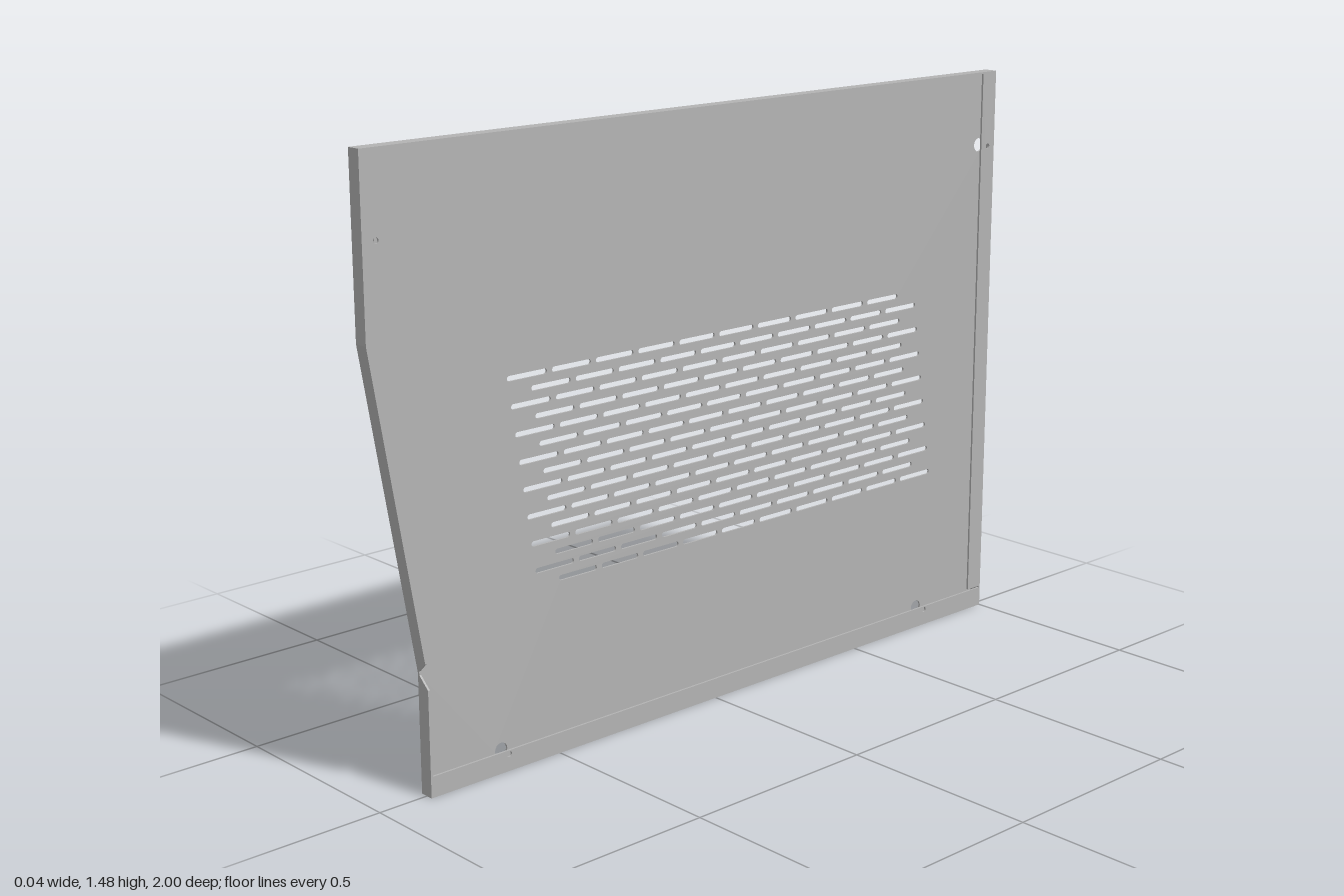
import * as THREE from 'three';

const T = 0.005;          // sheet thickness
const X0 = -0.018, X1 = 0.018;
const H = 1.475;

// Outline as [z, y], running up the back, over the top and down the front
const outline = [[-1, 0], [-1, H], [1, H], [1, 1.06], [0.872, 0.29], [0.872, 0]];
const screws = { back: [-0.975, 1.28], front: [0.965, 1.28], lowFront: [0.65, 0.042], lowBack: [-0.77, 0.042] };

export function createModel() {
  const group = new THREE.Group();
  const steel = new THREE.MeshStandardMaterial({ color: 0xb4b4b4 });
  steel.name = 'grey steel';

  function add(name, geometry) {
    const mesh = new THREE.Mesh(geometry, steel);
    mesh.name = name;
    group.add(mesh);
  }

  // Shapes in the plane of the panel: horizontal = -z, vertical = y
  const polygon = (pts) => new THREE.Shape(pts.map(([z, y]) => new THREE.Vector2(-z, y)));
  function roundHole([z, y], r) {
    const path = new THREE.Path();
    path.absarc(-z, y, r, 0, Math.PI * 2, true);
    return path;
  }
  function plate(shape, x) {
    const g = new THREE.ExtrudeGeometry(shape, { depth: T, bevelEnabled: false, curveSegments: 8 });
    return g.rotateY(Math.PI / 2).translate(x, 0, 0);
  }

  // Main sheet with access holes and staggered ventilation slots
  const sheet = polygon(outline);
  for (const p of Object.values(screws)) sheet.holes.push(roundHole(p, 0.018));
  const length = 0.114, r = 0.0065;
  for (let row = 0; row < 16; row++) {
    const y = 0.917 - row * 0.0333;
    const start = -0.608 + row * 0.005 + (row % 2) * 0.064;
    for (let i = 0; i < 10; i++) {
      const u = start + i * 0.1295;
      const slot = new THREE.Path();
      slot.absarc(u + r, y, r, Math.PI * 1.5, Math.PI * 0.5, true);
      slot.absarc(u + length - r, y, r, Math.PI * 0.5, -Math.PI * 0.5, true);
      slot.closePath();
      sheet.holes.push(slot);
    }
  }
  add('ventedSheet', plate(sheet, X0));

  // Folded flanges along each edge; cuts shorten the open rim to form the front notch
  function flange(name, a, b, cutStart = 0, cutEnd = 0) {
    const from = new THREE.Vector3(0, a[1], a[0]);
    const along = new THREE.Vector3(0, b[1], b[0]).sub(from);
    const len = along.length();
    along.normalize();
    const xAxis = new THREE.Vector3(1, 0, 0);
    const inward = new THREE.Vector3().crossVectors(xAxis, along);
    const shape = new THREE.Shape([
      new THREE.Vector2(X0, 0), new THREE.Vector2(X1, cutStart),
      new THREE.Vector2(X1, len - cutEnd), new THREE.Vector2(X0, len),
    ]);
    const g = new THREE.ExtrudeGeometry(shape, { depth: T, bevelEnabled: false });
    g.applyMatrix4(new THREE.Matrix4().makeBasis(xAxis, along, inward).setPosition(from));
    add(name, g);
  }
  const names = ['backFlange', 'topFlange', 'upperFrontFlange', 'slantedFrontFlange', 'lowerFrontFlange', 'bottomFlange'];
  names.forEach((name, i) => flange(name, outline[i], outline[(i + 1) % 6],
    i === 4 ? 0.032 : 0, i === 3 ? 0.032 : 0));

  // Return lips on the open side, each with small screw holes
  function lip(name, z0, z1, y0, y1, holes) {
    const shape = polygon([[z0, y0], [z1, y0], [z1, y1], [z0, y1]]);
    for (const p of holes) shape.holes.push(roundHole(p, 0.007));
    add(name, plate(shape, X1 - T));
  }
  lip('backLip', -0.95, -1, 0.056, H, [screws.back]);
  lip('frontLip', 1, 0.952, 1.06, H, [screws.front]);
  lip('bottomLip', 0.872, -1, 0, 0.051, [screws.lowFront, screws.lowBack]);

  return group;
}
